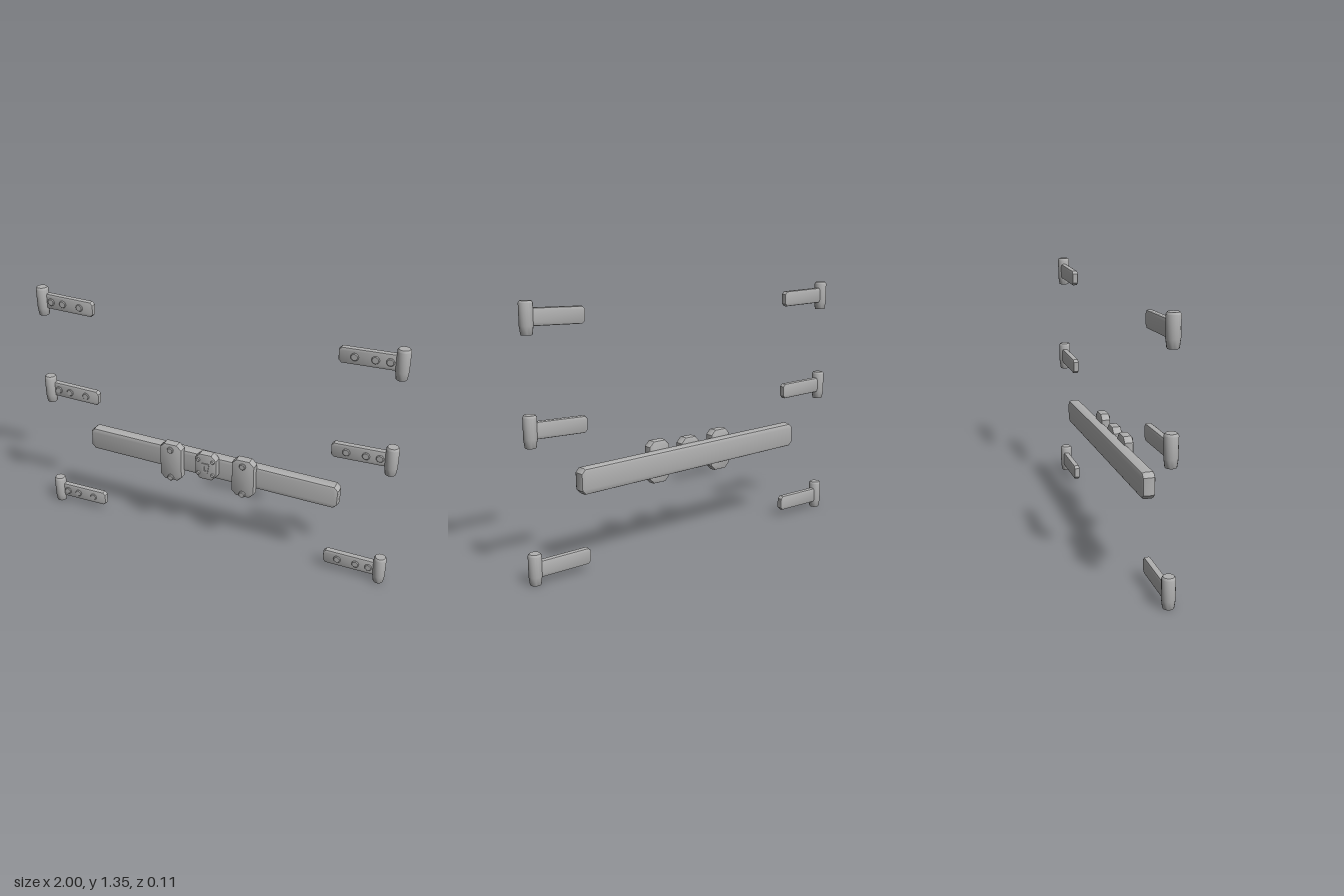
import * as THREE from 'three';
import { toCreasedNormals } from 'three/addons/utils/BufferGeometryUtils.js';

const iron = new THREE.MeshStandardMaterial({ color: 0xb0b0b0 });
iron.name = 'iron grey';

function add(parent, name, geometry, x = 0, y = 0, z = 0) {
  const mesh = new THREE.Mesh(toCreasedNormals(geometry, 0.6), iron);
  mesh.name = name;
  mesh.position.set(x, y, z);
  parent.add(mesh);
  return mesh;
}

// Plate with cut corners and bevelled rims, centred on its own origin
function plate(w, h, d, cut, bevel) {
  const a = w / 2 - bevel, b = h / 2 - bevel, c = cut;
  const outline = [[-a + c, -b], [a - c, -b], [a, -b + c], [a, b - c], [a - c, b], [-a + c, b], [-a, b - c], [-a, -b + c]];
  const shape = new THREE.Shape(outline.map(([x, y]) => new THREE.Vector2(x, y)));
  return new THREE.ExtrudeGeometry(shape, {
    depth: d - 2 * bevel, bevelThickness: bevel, bevelSize: bevel, bevelSegments: 2,
  }).translate(0, 0, bevel - d / 2);
}

// Round bolt head facing the front, with a small chamfer
function boltHead(r, depth) {
  const profile = [[0, -depth], [r, -depth], [r, -depth * 0.3], [r * 0.8, 0], [0, 0]];
  return new THREE.LatheGeometry(profile.map(([x, y]) => new THREE.Vector2(x, y)), 12).rotateX(Math.PI / 2);
}

// Pivot barrel: chamfered top, tapered foot
function barrel() {
  const profile = [[0, 0], [0.026, 0], [0.028, 0.004], [0.033, 0.042], [0.0335, 0.145], [0.027, 0.155], [0, 0.155]];
  return new THREE.LatheGeometry(profile.map(([x, y]) => new THREE.Vector2(x, y)), 16);
}

export function createModel() {
  const model = new THREE.Group();
  model.name = 'gateHardware';

  // Three hinges on each side
  for (const side of [-1, 1]) {
    for (const [base, tilt] of [[0, -0.006], [0.668, 0.028], [1.19, 0.028]]) {
      const hinge = new THREE.Group();
      hinge.name = side > 0 ? 'leftHinge' : 'rightHinge';
      hinge.position.set(side * 0.966, base, -0.0125);
      add(hinge, 'hingeBarrel', barrel());
      const leaf = new THREE.Group();
      leaf.name = 'hingeLeaf';
      leaf.position.set(-side * 0.16, 0.077, -0.005);
      leaf.rotation.z = side * tilt;
      add(leaf, 'hingeStrap', plate(0.29, 0.083, 0.033, 0.01, 0.008));
      for (const x of [0.104, 0.034, -0.066]) {
        add(leaf, 'hingeRivet', boltHead(0.02, 0.014), side * x, 0, 0.023);
      }
      hinge.add(leaf);
      model.add(hinge);
    }
  }

  // Crossbar, hanging slightly askew
  const bar = add(model, 'crossbar', plate(1.438, 0.131, 0.065, 0.014, 0.014), 0, 0.476, -0.0235);
  bar.rotation.z = -0.0185;

  // Brackets holding the bar
  for (const side of [-1, 1]) {
    const bracket = new THREE.Group();
    bracket.name = side > 0 ? 'leftBracket' : 'rightBracket';
    bracket.position.set(side * 0.209, 0.473, 0.018);
    add(bracket, 'bracketPlate', plate(0.128, 0.225, 0.05, 0.022, 0.009));
    for (const y of [-0.094, 0.078]) add(bracket, 'bracketBolt', boltHead(0.018, 0.016), 0, y, 0.037);
    model.add(bracket);
  }

  // Lock plate with corner bolts
  const lock = new THREE.Group();
  lock.name = 'lock';
  lock.position.set(-0.002, 0.495, 0.022);
  add(lock, 'lockPlate', plate(0.124, 0.155, 0.05, 0.024, 0.008));
  for (const x of [-0.042, 0.042]) {
    for (const y of [-0.041, 0.041]) add(lock, 'lockBolt', boltHead(0.011, 0.012), x, y, 0.033);
  }
  // Raised keyhole cover, wider at the top
  const cover = new THREE.Shape([[-0.013, -0.032], [0.013, -0.032], [0.023, 0.024], [-0.023, 0.024]]
    .map(([x, y]) => new THREE.Vector2(x, y)));
  const keyhole = new THREE.Path();
  keyhole.moveTo(-0.005, -0.02);
  keyhole.lineTo(0.005, -0.02);
  keyhole.lineTo(0.004, 0.003);
  keyhole.absarc(0, 0.008, 0.007, -0.9, Math.PI + 0.9, false);
  keyhole.closePath();
  cover.holes.push(keyhole);
  add(lock, 'keyholeCover', new THREE.ExtrudeGeometry(cover, { depth: 0.006, bevelEnabled: false, curveSegments: 6 }), 0, 0, 0.024);
  model.add(lock);

  return model;
}
